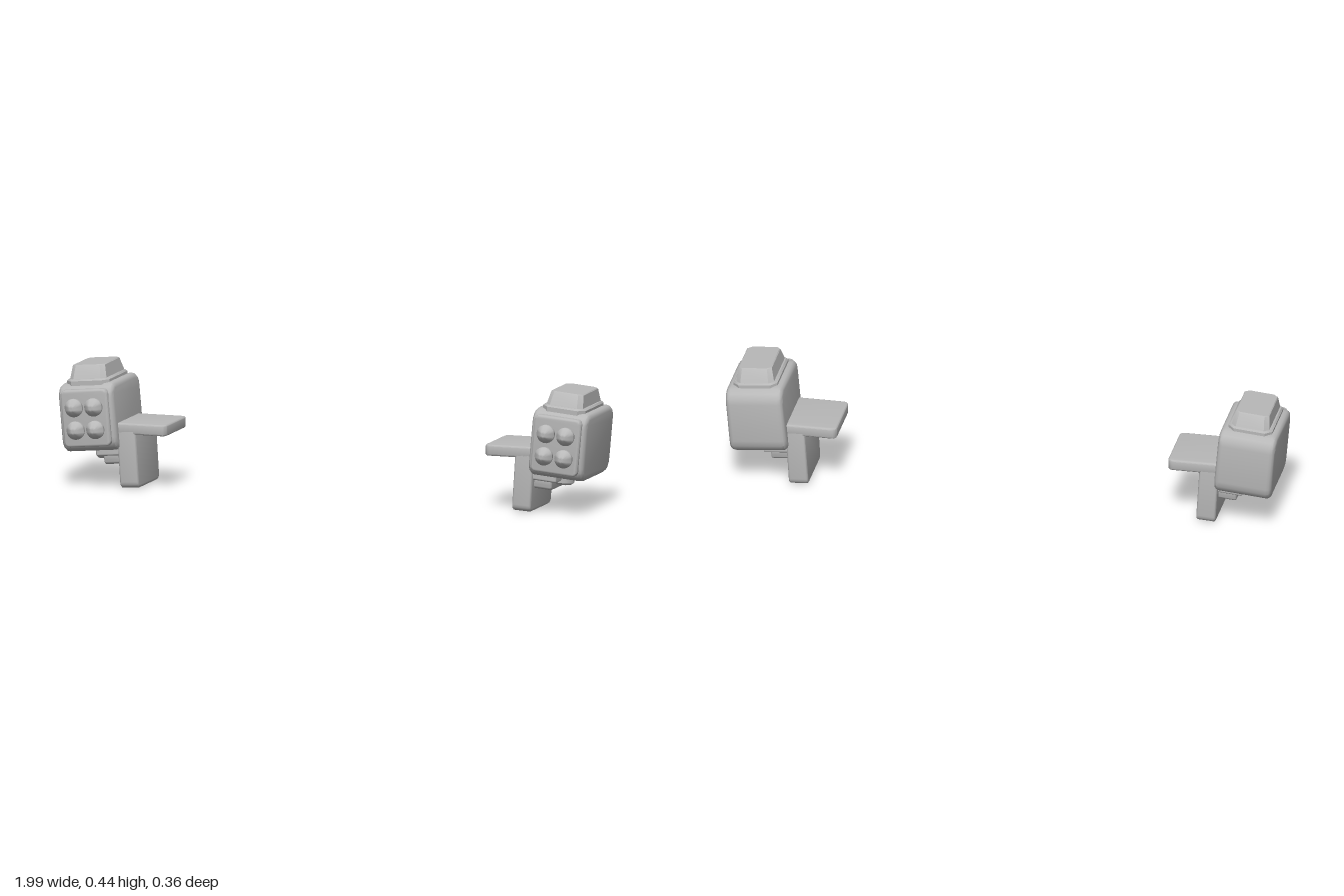
import * as THREE from 'three';
import { toCreasedNormals } from 'three/addons/utils/BufferGeometryUtils.js';

const grey = new THREE.MeshStandardMaterial({ color: 0xb8b8b8 });
grey.name = 'plainGrey';

// Rectangle outline with rounded or cut corners
function outline(w, h, r, round) {
  const s = new THREE.Shape(), x = w / 2, y = h / 2;
  const corner = (cx, cy, ex, ey) => round ? s.quadraticCurveTo(cx, cy, ex, ey) : s.lineTo(ex, ey);
  s.moveTo(-x + r, -y);
  s.lineTo(x - r, -y); corner(x, -y, x, -y + r);
  s.lineTo(x, y - r); corner(x, y, x - r, y);
  s.lineTo(-x + r, y); corner(-x, y, -x, y - r);
  s.lineTo(-x, -y + r); corner(-x, -y, -x + r, -y);
  return s;
}

// Centred block, lying along z, with bevelled ends
function block(w, h, d, r, bevel, round = true) {
  const g = new THREE.ExtrudeGeometry(outline(w - 2 * bevel, h - 2 * bevel, r, round), {
    depth: d - 2 * bevel, bevelThickness: bevel, bevelSize: bevel,
    bevelSegments: round ? 3 : 1, curveSegments: 4,
  });
  return g.translate(0, 0, -d / 2 + bevel);
}
const blockX = (w, h, d, r, b, round) => block(d, h, w, r, b, round).rotateY(Math.PI / 2);
const blockY = (w, h, d, r, b, round) => block(w, d, h, r, b, round).rotateX(-Math.PI / 2);

function add(parent, name, geometry, x, y, z) {
  const mesh = new THREE.Mesh(toCreasedNormals(geometry, 0.6), grey);
  mesh.name = name;
  mesh.position.set(x, y, z);
  parent.add(mesh);
  return mesh;
}

function launcher(side) {
  const unit = new THREE.Group();
  unit.name = side > 0 ? 'leftLauncher' : 'rightLauncher';
  const tilt = -side * 0.09;

  // Pod, leaning outwards
  const pod = new THREE.Group();
  pod.name = 'pod';
  pod.position.set(side * 0.885, 0.25, 0);
  pod.rotation.z = tilt;
  unit.add(pod);
  add(pod, 'podBody', blockX(0.207, 0.245, 0.302, 0.035, 0.018), 0, 0, -0.027);
  add(pod, 'frontPlate', block(0.176, 0.205, 0.04, 0.012, 0.008), 0, 0.003, 0.12);

  // Stepped rim and sloping cap
  add(pod, 'capRim', blockY(0.16, 0.035, 0.24, 0.02, 0.006, false), 0, 0.12, -0.02);
  const cap = blockY(0.14, 0.056, 0.232, 0.016, 0.003, false);
  const p = cap.attributes.position;
  for (let i = 0; i < p.count; i++) {
    const t = (p.getY(i) + 0.028) / 0.056;
    p.setX(i, p.getX(i) * (1 - 0.14 * t));
    p.setZ(i, p.getZ(i) * (1 - 0.23 * t));
  }
  cap.computeVertexNormals();
  add(pod, 'cap', cap, 0, 0.157, -0.022);

  // Four blunt missile tips
  const profile = [[0, -0.02], [0.026, -0.02], [0.033, 0.006], [0.033, 0.014], [0.026, 0.024],
    [0.012, 0.039], [0.006, 0.042], [0, 0.042]].map(([x, y]) => new THREE.Vector2(x, y));
  for (const x of [-0.037, 0.037]) for (const y of [-0.038, 0.043]) {
    add(pod, 'missileTip', new THREE.LatheGeometry(profile, 24).rotateX(Math.PI / 2), x, y, 0.138);
  }

  // Shoulder bracket
  add(unit, 'shelf', blockY(0.2, 0.04, 0.228, 0.015, 0.006), side * 0.7, 0.215, -0.023);
  const arm = add(unit, 'hangingPlate', blockX(0.07, 0.226, 0.228, 0.016, 0.008), side * 0.744, 0.114, -0.023);
  arm.rotation.z = tilt * 0.7;

  // Joint beneath the pod
  const joint = new THREE.Group();
  joint.name = 'joint';
  joint.position.set(side * 0.815, 0.11, -0.021);
  joint.rotation.z = tilt;
  unit.add(joint);
  add(joint, 'jointBlock', blockX(0.07, 0.06, 0.168, 0.012, 0.006), -side * 0.006, -0.001, 0);
  add(joint, 'jointFlange', blockX(0.1, 0.03, 0.2, 0.006, 0.004), 0, 0.017, 0);
  const pivot = [[0, -0.03], [0.034, -0.03], [0.042, -0.022], [0.042, 0.03], [0, 0.03]]
    .map(([x, y]) => new THREE.Vector2(x, y));
  add(joint, 'pivot', new THREE.LatheGeometry(pivot, 20), side * 0.042, 0.016, 0);
  return unit;
}

export function createModel() {
  const model = new THREE.Group();
  model.name = 'shoulderLaunchers';
  model.add(launcher(1), launcher(-1));
  return model;
}
